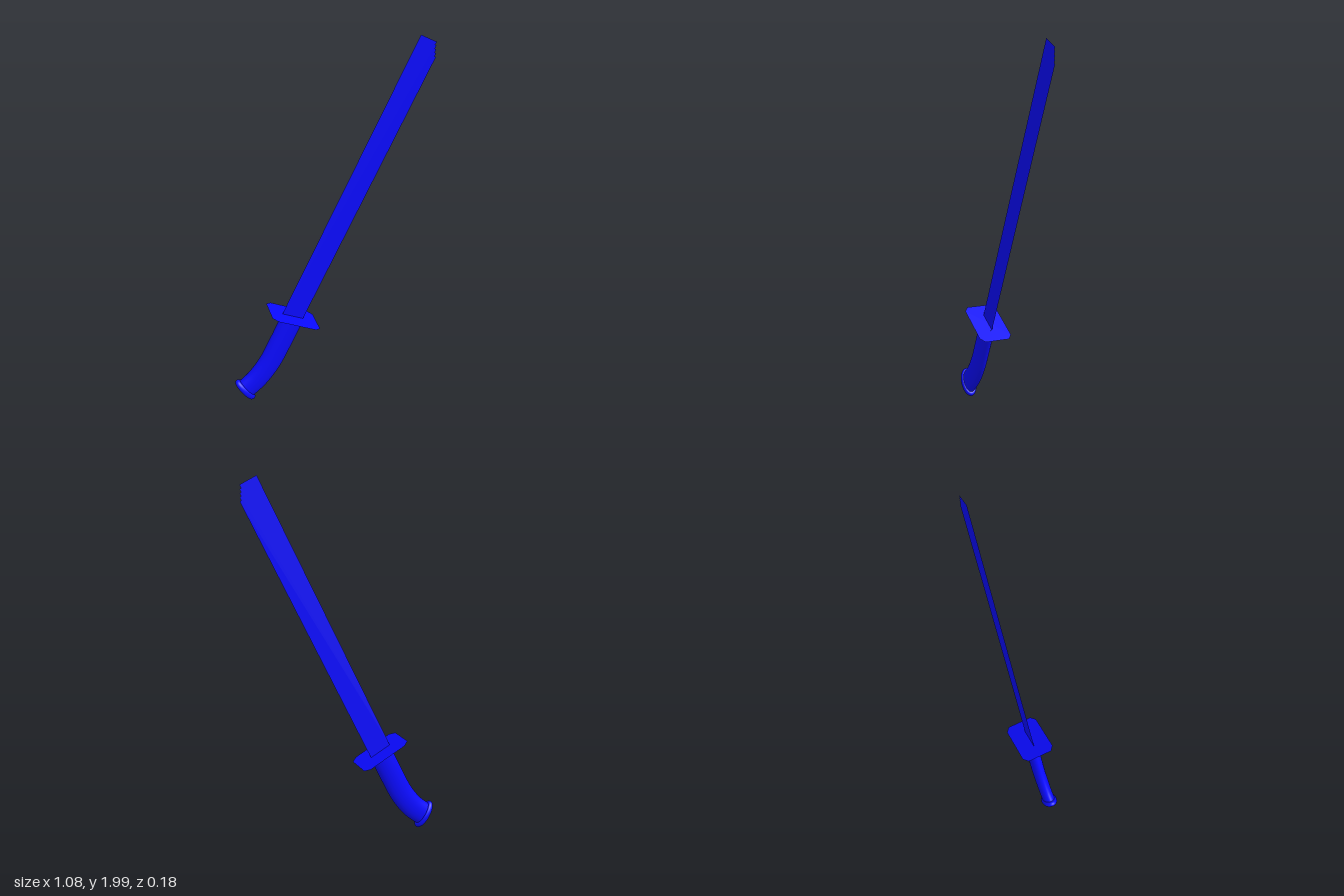
import * as THREE from 'three';

const TILT = Math.atan2(0.442, 0.897); // lean of the blade from vertical
const FLATTEN = 0.53;                  // grip depth relative to its width

export function createModel() {
  const model = new THREE.Group();
  model.name = 'sword';
  const material = new THREE.MeshStandardMaterial({ color: 0x0a0aff, side: THREE.DoubleSide });

  const add = (parent, name, geometry) => {
    const mesh = new THREE.Mesh(geometry, material);
    mesh.name = name;
    parent.add(mesh);
    return mesh;
  };

  // Blade and guard share a leaning frame: y runs along the blade
  const upper = new THREE.Group();
  upper.name = 'bladeAndGuard';
  upper.position.set(-0.2, 0.52, 0);
  upper.rotation.z = -TILT;
  model.add(upper);

  // Thin flat blade with a small stepped corner at the tip
  const blade = new THREE.Shape();
  blade.moveTo(-0.066, 0);
  blade.lineTo(0.061, 0);
  const steps = 4;
  for (let i = steps; i > 0; i--) {
    const x = 0.027 + (0.034 * i) / steps;
    blade.lineTo(x, 1.619 - 0.0165 * i);
    blade.lineTo(x - 0.034 / steps, 1.619 - 0.0165 * i);
  }
  blade.lineTo(0.027, 1.619);
  blade.lineTo(-0.066, 1.619);
  add(upper, 'blade', new THREE.ShapeGeometry(blade));

  // Flat guard plate with clipped corners, square to the blade
  const w = 0.145, d = 0.092, cx = 0.031, cz = 0.023;
  const guard = new THREE.Shape([
    [w, -d + cz], [w, d - cz], [w - cx, d], [-w + cx, d],
    [-w, d - cz], [-w, -d + cz], [-w + cx, -d], [w - cx, -d],
  ].map(([x, y]) => new THREE.Vector2(x, y)));
  add(upper, 'guard', new THREE.ShapeGeometry(guard).rotateX(-Math.PI / 2));

  // Curved grip with an oval section
  const path = new THREE.CatmullRomCurve3([
    [-0.2, 0.52], [-0.272, 0.373], [-0.342, 0.24], [-0.415, 0.145], [-0.49, 0.08],
  ].map(([x, y]) => new THREE.Vector3(x, y, 0)));
  add(model, 'grip', new THREE.TubeGeometry(path, 32, 0.066, 32).scale(1, 1, FLATTEN));

  // Oval pommel disc with a rounded rim
  const profile = [new THREE.Vector2(0, -0.016)];
  for (let i = 0; i <= 10; i++) {
    const a = -Math.PI / 2 + (Math.PI * i) / 10;
    profile.push(new THREE.Vector2(0.068 + 0.016 * Math.cos(a), 0.016 * Math.sin(a)));
  }
  profile.push(new THREE.Vector2(0, 0.016));
  const pommel = add(model, 'pommel',
    new THREE.LatheGeometry(profile, 40).scale(1, 1, FLATTEN));
  pommel.position.set(-0.488, 0.08, 0);
  pommel.rotation.z = -Math.atan2(0.83, 0.55);

  return model;
}
